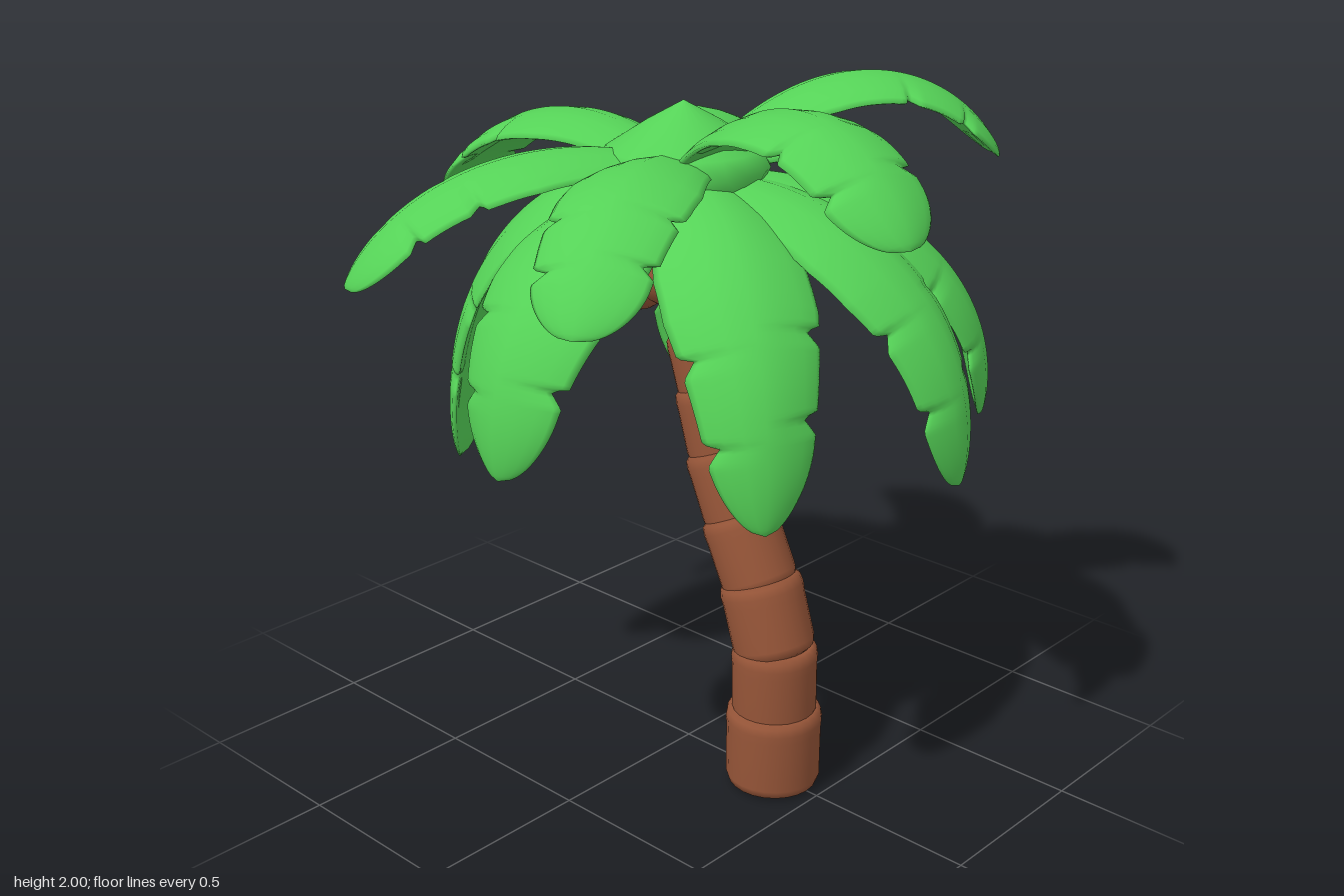
import * as THREE from 'three';

const leafGreen = new THREE.MeshStandardMaterial({ color: 0x55d257 });
leafGreen.name = 'leafGreen';
const barkBrown = new THREE.MeshStandardMaterial({ color: 0x965538 });
barkBrown.name = 'barkBrown';

function add(parent, geometry, material, name) {
  const mesh = new THREE.Mesh(geometry, material);
  mesh.name = name;
  parent.add(mesh);
  return mesh;
}

// Half-width of a frond along its length, with torn notches; shift staggers the two edges
function edge(t, shift, narrowing) {
  const grow = Math.min(1, 0.64 + 0.95 * t);
  const taper = t > 0.5 ? 1 - narrowing * (t - 0.5) : 1;
  const round = t > 0.82 ? Math.sqrt(Math.max(0, 1 - ((t - 0.82) / 0.18) ** 2)) : 1;
  let w = grow * taper * round;
  for (const [at, depth] of [[0.58, 0.2], [0.78, 0.26]]) {
    const d = t - at - shift;
    if (d > -0.012 && d < 0.04) w *= 1 - depth * (d < 0 ? 1 + d / 0.012 : 1 - d / 0.04);
  }
  return w;
}

// Arched leaf: lens-shaped cross-sections swept from the crown to the tip
function frondGeometry({ tip, rootY, y1, y2, reach, width, narrowing, droop }) {
  const [tx, ty, tz] = tip;
  const along = (k, y) => new THREE.Vector3(tx * k, y, 0.02 + (tz - 0.02) * k);
  const curve = new THREE.CubicBezierCurve3(
    along(0.08, rootY), along(0.42, y1), along(reach, y2), along(1, ty));
  const side = new THREE.Vector3(-(tz - 0.02), 0, tx).normalize();
  const rows = 110, cols = 16, positions = [], index = [];
  for (let i = 0; i <= rows; i++) {
    const t = i / rows;
    const p = curve.getPointAt(t);
    const normal = side.clone().cross(curve.getTangentAt(t)).normalize();
    const thick = 0.022 * Math.sqrt(Math.max(0, 1 - t ** 8));
    for (let j = 0; j < cols; j++) {
      const a = (j / cols) * Math.PI * 2;
      const s = Math.cos(a);
      const w = width * 0.5 * edge(t, s > 0 ? 0.02 : -0.03, narrowing);
      const lift = Math.sin(a) * thick - w * droop * (0.6 * s * s + 0.4 * Math.abs(s));
      const v = p.clone().addScaledVector(side, s * w).addScaledVector(normal, lift);
      positions.push(v.x, v.y, v.z);
      if (i < rows) {
        const b = i * cols + j, c = i * cols + (j + 1) % cols;
        index.push(b, b + cols, c, c, b + cols, c + cols);
      }
    }
  }
  const g = new THREE.BufferGeometry();
  g.setAttribute('position', new THREE.Float32BufferAttribute(positions, 3));
  g.setIndex(index);
  g.computeVertexNormals();
  return g;
}

export function createModel() {
  const model = new THREE.Group();
  model.name = 'palmTree';

  // Trunk: stacked, slightly overlapping rounded drums along a leaning line [x, y, z, radius]
  const trunk = new THREE.Group();
  trunk.name = 'trunk';
  model.add(trunk);
  const joints = [
    [0.345, 0, 0.014, 0.138], [0.347, 0.235, 0.014, 0.123], [0.345, 0.43, 0.014, 0.119],
    [0.288, 0.615, 0.014, 0.11], [0.205, 0.79, 0.014, 0.1], [0.132, 0.965, 0.016, 0.09],
    [0.085, 1.14, 0.02, 0.08], [0.045, 1.29, 0.027, 0.068], [0.015, 1.43, 0.036, 0.058],
    [0, 1.72, 0.03, 0.05]];
  for (let i = 0; i < joints.length - 1; i++) {
    const [x, y, z, r] = joints[i];
    const from = new THREE.Vector3(x, y, z);
    const dir = new THREE.Vector3(...joints[i + 1].slice(0, 3)).sub(from);
    const h = dir.length() + 0.012;
    const base = i ? -0.02 : 0;
    const profile = [[0, base], [r * 0.8, base + 0.002], [r * 0.93, base + 0.012], [r * 0.985, base + 0.035],
      [r * 0.985, h - 0.06], [r, h - 0.035], [r * 0.97, h - 0.012], [r * 0.86, h], [0, h]];
    const drum = add(trunk, new THREE.LatheGeometry(
      profile.map(([a, b]) => new THREE.Vector2(a, b)), 24), barkBrown, 'trunkSegment');
    drum.position.copy(from);
    drum.quaternion.setFromUnitVectors(new THREE.Vector3(0, 1, 0), dir.normalize());
  }

  // Coconuts: an outer ring and a lower inner ring around the trunk
  const coconuts = new THREE.Group();
  coconuts.name = 'coconuts';
  model.add(coconuts);
  for (const [count, rx, rz, y, r, turn] of [[9, 0.225, 0.16, 1.51, 0.088, 0.35], [5, 0.12, 0.11, 1.45, 0.075, 0.5]]) {
    for (let i = 0; i < count; i++) {
      const a = turn + (i / count) * Math.PI * 2;
      const nut = add(coconuts, new THREE.SphereGeometry(r, 20, 14), barkBrown, 'coconut');
      nut.position.set(rx * Math.cos(a), y + 0.015 * Math.sin(i * 2.3), 0.06 + rz * Math.sin(a));
    }
  }

  // Crown: low peaked cap joining the fronds
  const cap = [[0, 1.66], [0.12, 1.67], [0.21, 1.71], [0.235, 1.76], [0.21, 1.81], [0.1, 1.88], [0, 1.935]];
  const crown = add(model, new THREE.LatheGeometry(
    cap.map(([a, b]) => new THREE.Vector2(a, b)), 20), leafGreen, 'crown');
  crown.position.z = 0.02;

  // Upper fronds: [tip, first control height, second control height, width]
  const fronds = new THREE.Group();
  fronds.name = 'fronds';
  model.add(fronds);
  const upper = [
    [[0.88, 1.72, 0.19], 2.06, 2.0, 0.38], [[0.52, 1.75, -0.7], 2.07, 2.02, 0.33],
    [[0.12, 1.22, -0.83], 1.86, 1.74, 0.37], [[-0.6, 1.46, -0.74], 1.88, 1.79, 0.33],
    [[-0.88, 1.56, 0.08], 1.92, 1.84, 0.34], [[-0.47, 1.49, 0.81], 1.86, 1.77, 0.36],
    [[0.37, 1.53, 0.79], 1.87, 1.82, 0.35]];
  for (const [tip, y1, y2, width] of upper) {
    add(fronds, frondGeometry({ tip, rootY: 1.77, y1, y2, reach: 0.8, width, narrowing: 0.45, droop: 0.24 }),
      leafGreen, 'upperFrond');
  }

  // Lower fronds: [tip, width], drooping steeply to narrower ends
  const lower = [
    [[0.05, 1.08, 0.76], 0.45], [[0.65, 1.0, 0.42], 0.4], [[0.81, 1.0, -0.17], 0.41],
    [[0.63, 1.06, -0.52], 0.42], [[-0.47, 0.87, -0.56], 0.4], [[-0.71, 0.92, -0.08], 0.37],
    [[-0.6, 0.85, 0.34], 0.44]];
  for (const [tip, width] of lower) {
    add(fronds, frondGeometry({
      tip, rootY: 1.72, y1: 1.77, y2: 1.57, reach: 1.05, width, narrowing: 0.95, droop: 0.3,
    }), leafGreen, 'lowerFrond');
  }
  return model;
}
